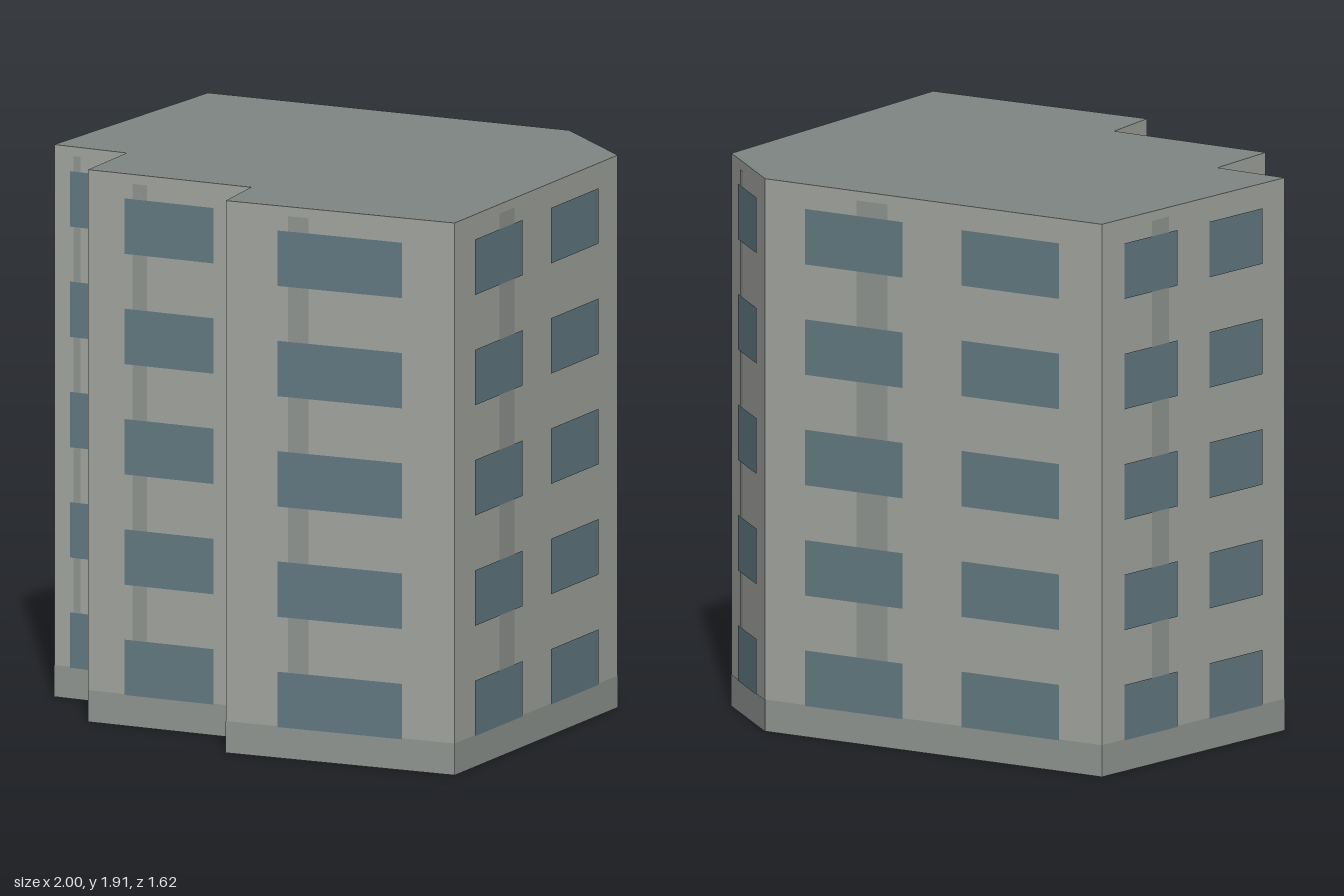
import * as THREE from 'three';

// Footprint corners [x, z], running left to right as seen from outside
const OUTLINE = [
  [-0.855, 0.495], [-0.58, 0.44], [-0.505, 0.73], [0.10, 0.59], [0.175, 0.81],
  [1, 0.585], [0.71, -0.61], [0.325, -0.81], [-1, -0.48],
];
const HEIGHT = 1.912, PLINTH = 0.11, FLOORS = 5, FLOOR_STEP = 0.382;
const SILL = 0.107, WINDOW_HEIGHT = 0.192, STRIP_TOP = 1.88;

// Window spans as fractions of the wall length
const ONE_WINDOW = [[0.228, 0.772]];
const TWO_WINDOWS = [[0.12, 0.41], [0.585, 0.875]];
const STRIP = [0.273, 0.364];

const material = (color, side = THREE.FrontSide) =>
  new THREE.MeshStandardMaterial({ color, side });

export function createModel() {
  const building = new THREE.Group();
  building.name = 'apartmentBlock';
  const wallMat = material(0xa5a8a2, THREE.DoubleSide);
  const plinthMat = material(0x939995);
  const stripMat = material(0x939893);
  const windowMat = material(0x647c84);

  OUTLINE.forEach(([x0, z0], i) => {
    const [x1, z1] = OUTLINE[(i + 1) % OUTLINE.length];
    const length = Math.hypot(x1 - x0, z1 - z0);

    // Local frame: x along the wall, z outward
    const side = new THREE.Group();
    side.name = 'facade' + (i + 1);
    side.position.set(x0, 0, z0);
    side.rotation.y = Math.atan2(z0 - z1, x1 - x0);
    building.add(side);

    const panel = (name, mat, [from, to], bottom, top, offset) => {
      const mesh = new THREE.Mesh(new THREE.PlaneGeometry((to - from) * length, top - bottom), mat);
      mesh.name = name;
      mesh.position.set((from + to) / 2 * length, (bottom + top) / 2, offset);
      side.add(mesh);
    };

    panel('wall', wallMat, [0, 1], 0, HEIGHT, 0);
    panel('plinth', plinthMat, [0, 1], 0, PLINTH, 0.002);
    panel('stairwellStrip', stripMat, STRIP, PLINTH, STRIP_TOP, 0.002);

    // One window per floor on short walls, two on the long side walls
    const spans = length > 0.9 && i !== 4 ? TWO_WINDOWS : ONE_WINDOW;
    for (let floor = 0; floor < FLOORS; floor++) {
      const y = SILL + floor * FLOOR_STEP;
      for (const span of spans) panel('window', windowMat, span, y, y + WINDOW_HEIGHT, 0.004);
    }
  });

  // Flat roof
  const shape = new THREE.Shape(OUTLINE.map(([x, z]) => new THREE.Vector2(x, -z)));
  const roof = new THREE.Mesh(new THREE.ShapeGeometry(shape), material(0x7f8683, THREE.DoubleSide));
  roof.name = 'roof';
  roof.rotation.x = -Math.PI / 2;
  roof.position.y = HEIGHT;
  building.add(roof);

  return building;
}
